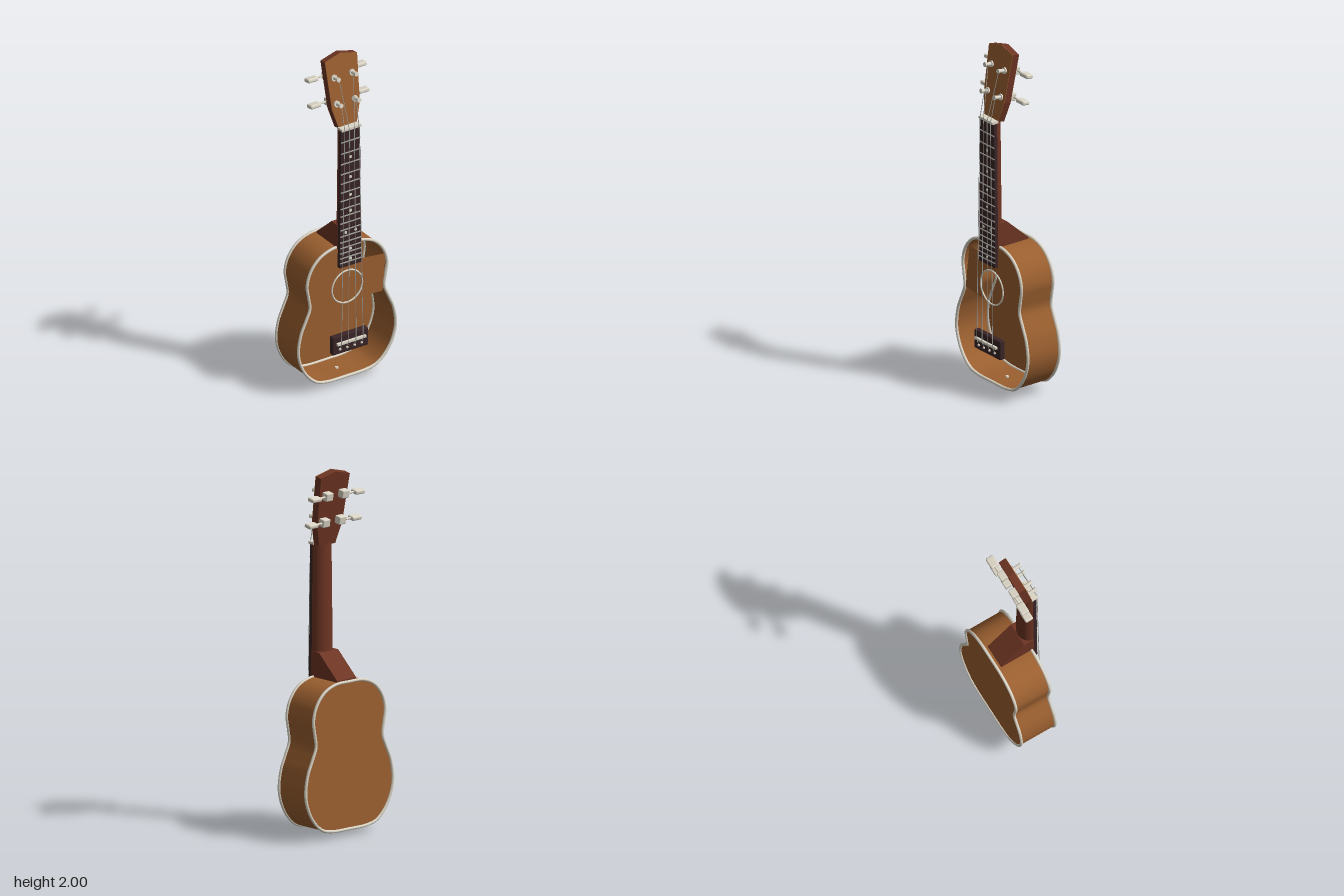
import * as THREE from 'three';
import { RoundedBoxGeometry } from 'three/addons/geometries/RoundedBoxGeometry.js';

const mat = (name, color, side = THREE.FrontSide) => {
  const m = new THREE.MeshStandardMaterial({ color, side });
  m.name = name;
  return m;
};

export function createModel() {
  const wood = mat('warm body wood', 0x9c6030, THREE.DoubleSide);
  const mahogany = mat('dark red neck wood', 0x6e3524);
  const rosewood = mat('fingerboard wood', 0x3a2526);
  const cream = mat('cream', 0xddd7c8);
  const steel = mat('steel', 0xa9a9a4);

  const root = new THREE.Group();
  root.name = 'ukulele';

  const add = (parent, name, geo, material, x = 0, y = 0, z = 0) => {
    const m = new THREE.Mesh(geo, material);
    m.name = name;
    m.position.set(x, y, z);
    parent.add(m);
    return m;
  };
  const box = (w, h, d) => new THREE.BoxGeometry(w, h, d);
  const polygon = (pts) => new THREE.Shape(pts.map(([x, y]) => new THREE.Vector2(x, y)));
  const slab = (pts, depth) =>
    new THREE.ExtrudeGeometry(polygon(pts), { depth, bevelEnabled: false });
  const rod = (parent, name, a, b, r, material) => {
    const d = b.clone().sub(a);
    const m = add(parent, name, new THREE.CylinderGeometry(r, r, d.length(), 8), material);
    m.position.copy(a).addScaledVector(d, 0.5);
    m.quaternion.setFromUnitVectors(new THREE.Vector3(0, 1, 0), d.normalize());
  };

  // Body outline: one half, mirrored into a closed smooth curve
  const half = [
    [0, 0.037], [0.13, 0.04], [0.2, 0.06], [0.272, 0.135], [0.313, 0.25], [0.3, 0.37],
    [0.265, 0.455], [0.24, 0.52], [0.248, 0.59], [0.258, 0.665], [0.236, 0.745],
    [0.18, 0.812], [0.1, 0.846], [0, 0.85],
  ];
  const loop = [...half, ...half.slice(1, -1).reverse().map(([x, y]) => [-x, y])];
  const outline = new THREE.CatmullRomCurve3(
    loop.map(([x, y]) => new THREE.Vector3(x, y, 0)), true, 'centripetal');
  const N = 120;
  const ring = outline.getSpacedPoints(N);
  const zBack = -0.13, zFront = 0.084;

  const sides = new THREE.PlaneGeometry(1, 1, N, 1);
  for (let row = 0; row < 2; row++) {
    for (let i = 0; i <= N; i++) {
      const p = ring[i % N];
      sides.attributes.position.setXYZ(row * (N + 1) + i, p.x, p.y, row ? zBack : zFront);
    }
  }
  sides.computeVertexNormals();
  add(root, 'body sides', sides, wood);

  const back = new THREE.ShapeGeometry(polygon(ring.slice(0, N).map((p) => [p.x, p.y])));
  back.rotateY(Math.PI);
  add(root, 'body back', back, wood, 0, 0, zBack);

  for (const [name, z] of [['front binding', zFront], ['back binding', zBack]]) {
    add(root, name, new THREE.TubeGeometry(outline, 140, 0.0085, 8, true), cream, 0, 0, z);
  }

  // Soundboard panel across the waist, with a round sound hole
  const top = polygon([[-0.235, 0.515], [0.23, 0.49], [0.25, 0.715], [-0.2, 0.77]]);
  const hole = new THREE.Path();
  hole.absarc(0, 0.59, 0.097, 0, Math.PI * 2, true);
  top.holes.push(hole);
  add(root, 'soundboard', new THREE.ShapeGeometry(top, 32), wood, 0, 0, zFront);
  add(root, 'rosette', new THREE.TorusGeometry(0.098, 0.005, 8, 48), cream, 0, 0.59, zFront + 0.002);

  // Strap pin
  add(root, 'strap pin', new THREE.CylinderGeometry(0.009, 0.013, 0.045, 16), cream, 0, 0.0225, -0.017);

  // Neck: tapered half round, with a wedge heel
  const neck = new THREE.CylinderGeometry(0.06, 0.068, 0.74, 24, 1, false, Math.PI / 2, Math.PI);
  neck.scale(1, 1, 0.92);
  add(root, 'neck', neck, mahogany, 0, 1.215, 0.1);
  const heel = slab([[-0.1, 0.845], [0.108, 0.845], [0.108, 0.86], [-0.037, 0.99], [-0.1, 0.99]], 0.138);
  heel.rotateY(Math.PI / 2);
  heel.translate(-0.069, 0, 0);
  add(root, 'heel', heel, mahogany);

  // Fingerboard, frets and position dots
  const yNut = 1.58, yEnd = 0.735, ySaddle = 0.275;
  const halfWidth = (y) => 0.07 - 0.009 * (y - yEnd) / (yNut - yEnd);
  const fretY = (n) => yNut - (yNut - ySaddle) * (1 - 2 ** (-n / 12));
  add(root, 'fingerboard',
    slab([[-0.07, yEnd], [0.07, yEnd], [0.061, yNut], [-0.061, yNut]], 0.021), rosewood, 0, 0, 0.098);
  for (let n = 1; n <= 17; n++) {
    add(root, 'fret', box(2 * halfWidth(fretY(n)), 0.006, 0.006), steel, 0, fretY(n), 0.12);
  }
  const dot = new THREE.CylinderGeometry(0.009, 0.009, 0.003, 16);
  dot.rotateX(Math.PI / 2);
  for (const n of [3, 5, 7, 9, 12, 15, 17]) {
    const y = (fretY(n - 1) + fretY(n)) / 2;
    for (const x of n === 12 ? [-0.032, 0.032] : [0]) add(root, 'position dot', dot, cream, x, y, 0.1195);
  }
  add(root, 'nut', box(0.124, 0.014, 0.042), cream, 0, 1.584, 0.11);

  // Bridge, saddle and pins
  add(root, 'bridge', new RoundedBoxGeometry(0.23, 0.11, 0.036, 2, 0.008), rosewood, 0, 0.263, 0.102);
  add(root, 'saddle', box(0.186, 0.013, 0.022), cream, 0, ySaddle, 0.124);

  // Headstock, tilted back
  const tilt = 0.17;
  const head = new THREE.Group();
  head.name = 'headstock';
  head.position.set(0, 1.58, 0.07);
  head.rotation.x = -tilt;
  root.add(head);
  const headShape = [[-0.058, 0], [0.058, 0], [0.09, 0.118], [0.104, 0.395], [0, 0.422], [-0.104, 0.395], [-0.09, 0.118]];
  add(head, 'headstock core', slab(headShape, 0.042), mahogany, 0, 0, -0.022);
  add(head, 'headstock veneer', slab(headShape, 0.003), wood, 0, 0, 0.02);

  // Tuners on both sides
  const along = (r, len, axis, seg = 16) => {
    const g = new THREE.CylinderGeometry(r, r, len, seg);
    return axis === 'x' ? g.rotateZ(Math.PI / 2) : g.rotateX(Math.PI / 2);
  };
  const postY = [0.143, 0.294];
  for (const y of postY) {
    for (const s of [-1, 1]) {
      const tuner = new THREE.Group();
      tuner.name = 'tuner';
      tuner.position.set(s * 0.058, y, 0);
      head.add(tuner);
      add(tuner, 'ferrule', along(0.018, 0.01, 'z'), cream, 0, 0, 0.027);
      add(tuner, 'post', along(0.01, 0.05, 'z'), cream, 0, 0, 0.046);
      add(tuner, 'post cap', along(0.013, 0.008, 'z'), cream, 0, 0, 0.069);
      add(tuner, 'gear box', new RoundedBoxGeometry(0.05, 0.045, 0.042, 2, 0.006), cream, 0, 0, -0.042);
      add(tuner, 'tuner shaft', along(0.006, 0.06, 'x'), cream, s * 0.045, 0, -0.048);
      add(tuner, 'tuner button', new RoundedBoxGeometry(0.068, 0.024, 0.048, 3, 0.009), cream, s * 0.098, 0, -0.048);
    }
  }

  // Strings: pin, saddle, nut, post
  head.updateMatrix();
  [-0.07, -0.024, 0.024, 0.07].forEach((x, i) => {
    const outer = i === 0 || i === 3;
    const s = Math.sign(x);
    const post = new THREE.Vector3(s * 0.048, postY[outer ? 0 : 1], 0.056).applyMatrix4(head.matrix);
    const path = [
      new THREE.Vector3(x, 0.238, 0.121),
      new THREE.Vector3(x, ySaddle, 0.136),
      new THREE.Vector3(s * (outer ? 0.046 : 0.016), 1.584, 0.132),
      post,
    ];
    for (let k = 0; k < 3; k++) rod(root, 'string', path[k], path[k + 1], 0.002, steel);
    add(root, 'bridge pin', new THREE.SphereGeometry(0.008, 12, 8), cream, x, 0.238, 0.121);
  });

  return root;
}
